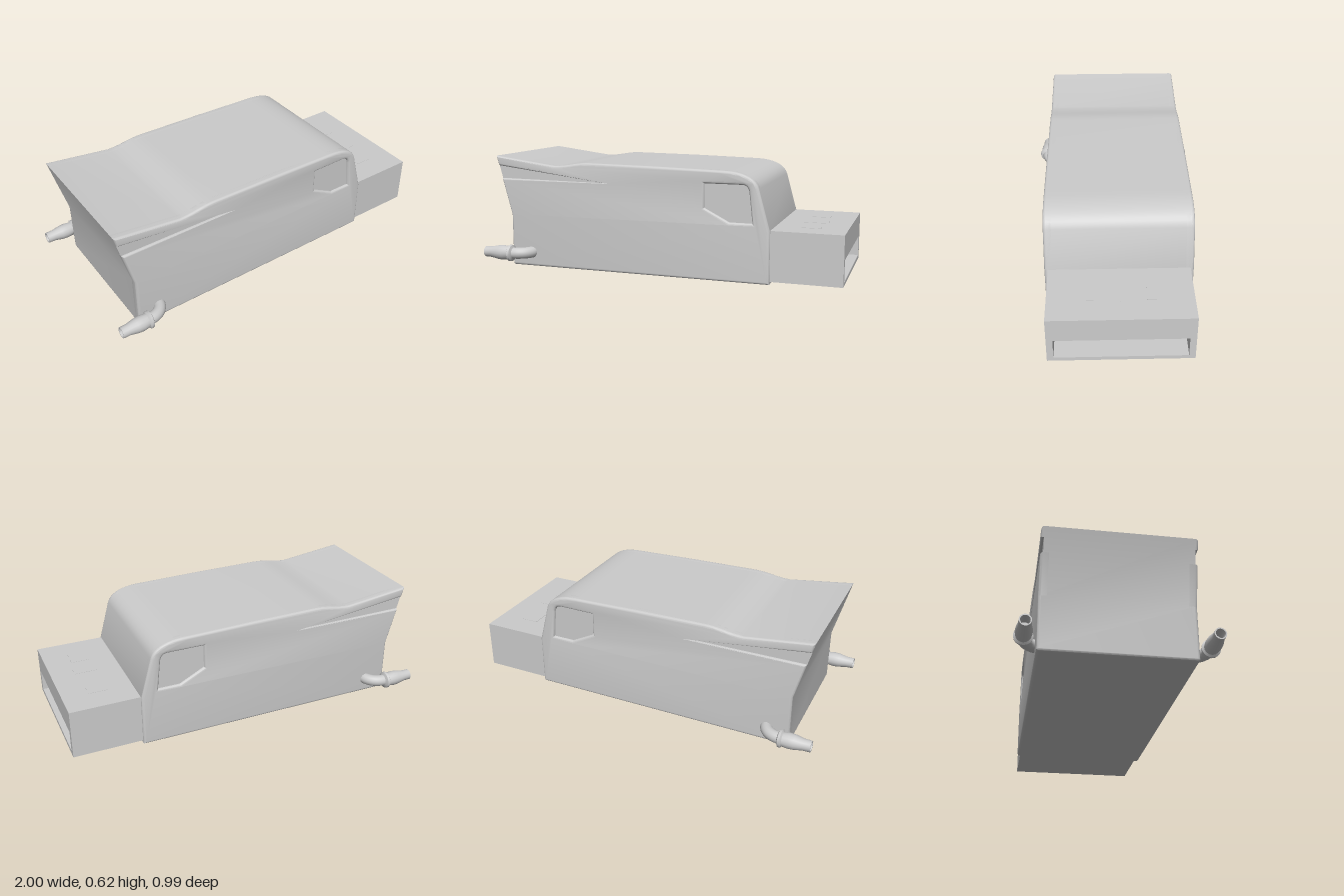
import * as THREE from 'three';
import { toCreasedNormals } from 'three/addons/utils/BufferGeometryUtils.js';

const material = new THREE.MeshStandardMaterial({ color: 0xcccccc });
const thin = new THREE.MeshStandardMaterial({ color: 0xcccccc, side: THREE.DoubleSide });

function add(parent, name, geometry, mat = material) {
  const mesh = new THREE.Mesh(geometry, mat);
  mesh.name = name;
  parent.add(mesh);
  return mesh;
}

// Side outline of the van body; the skin version has a wedge cut in its rear edge
function bodyOutline(withWedge) {
  const s = new THREE.Shape();
  s.moveTo(-0.85, 0);
  s.lineTo(0.625, 0);
  s.lineTo(0.625, 0.28);
  s.lineTo(0.565, 0.495);
  s.bezierCurveTo(0.545, 0.56, 0.46, 0.583, 0.36, 0.583);
  s.lineTo(0, 0.592);
  s.lineTo(-0.38, 0.597);
  s.bezierCurveTo(-0.47, 0.597, -0.5, 0.577, -0.59, 0.575);
  s.lineTo(-0.955, 0.622);
  if (withWedge) {
    s.lineTo(-0.94, 0.567);
    s.lineTo(-0.28, 0.49);
    s.lineTo(-0.921, 0.496);
  }
  s.lineTo(-0.865, 0.29);
  s.lineTo(-0.865, 0.015);
  s.quadraticCurveTo(-0.865, 0, -0.85, 0);
  return s;
}

function windowOutline() {
  const p = new THREE.Path();
  p.moveTo(0.275, 0.385);
  p.lineTo(0.275, 0.513);
  p.lineTo(0.475, 0.513);
  p.quadraticCurveTo(0.51, 0.513, 0.515, 0.475);
  p.lineTo(0.533, 0.315);
  p.lineTo(0.412, 0.315);
  p.lineTo(0.275, 0.385);
  return p;
}

function buildBody() {
  const body = new THREE.Group();
  body.name = 'body';
  const core = new THREE.ExtrudeGeometry(bodyOutline(false), { depth: 0.746, bevelEnabled: false, curveSegments: 10 });
  core.translate(0, 0, -0.373);
  add(body, 'bodyCore', toCreasedNormals(core, 0.45));

  // Rounded side panels leave the window and wedge as shallow recesses
  const outline = bodyOutline(true);
  outline.holes.push(windowOutline());
  const panel = toCreasedNormals(new THREE.ExtrudeGeometry(outline, {
    depth: 0.028, bevelThickness: 0.014, bevelSize: 0.014, bevelOffset: -0.014,
    bevelSegments: 4, curveSegments: 10,
  }), 0.45);
  add(body, 'leftFacingPanel', panel).position.z = 0.345;
  add(body, 'rightFacingPanel', panel).position.z = -0.373;
  return body;
}

function rectangle(path, x0, y0, x1, y1) {
  path.moveTo(x0, y0);
  path.lineTo(x1, y0);
  path.lineTo(x1, y1);
  path.lineTo(x0, y1);
  path.closePath();
  return path;
}

// Rectangular connector with an open slot in its end
function buildPlug() {
  const plug = new THREE.Group();
  plug.name = 'plug';
  const section = rectangle(new THREE.Shape(), -0.368, 0.015, 0.368, 0.282);
  section.holes.push(rectangle(new THREE.Path(), -0.335, 0.036, 0.335, 0.15));
  const shell = new THREE.ExtrudeGeometry(section, { depth: 0.38, bevelEnabled: false });
  shell.rotateY(Math.PI / 2).translate(0.62, 0, 0);
  add(plug, 'plugShell', shell);

  // Faint raised marks on the upper face
  for (const [x, z, w, d] of [[0.81, 0.18, 0.1, 0.095], [0.81, -0.18, 0.1, 0.095], [0.81, 0.03, 0.13, 0.06]]) {
    add(plug, 'plugMark', new THREE.BoxGeometry(w, 0.003, d)).position.set(x, 0.282, z);
  }
  return plug;
}

// Exhaust: an elbow out of the side wall, a collar and a hollow tapered tip
function buildExhaust(side) {
  const exhaust = new THREE.Group();
  exhaust.name = side > 0 ? 'frontExhaust' : 'backExhaust';
  const path = new THREE.CatmullRomCurve3([
    [-0.74, 0.35], [-0.742, 0.385], [-0.765, 0.42], [-0.8, 0.44], [-0.85, 0.447],
  ].map(([x, z]) => new THREE.Vector3(x, 0.08, z * side)));
  add(exhaust, 'exhaustElbow', new THREE.TubeGeometry(path, 20, 0.032, 16));

  const profile = [
    [0.03, 0.825], [0.046, 0.832], [0.048, 0.845], [0.038, 0.852], [0.042, 0.885],
    [0.04, 0.915], [0.031, 0.96], [0.03, 1], [0.024, 1], [0.024, 0.93], [0, 0.93],
  ].map(([r, d]) => new THREE.Vector2(r, d));
  const tip = new THREE.LatheGeometry(profile, 16);
  tip.rotateZ(Math.PI / 2).translate(0, 0.08, 0.447 * side);
  add(exhaust, 'exhaustTip', toCreasedNormals(tip, 0.6), thin);
  return exhaust;
}

export function createModel() {
  const model = new THREE.Group();
  model.name = 'vanShapedDrive';
  model.add(buildBody(), buildPlug(), buildExhaust(1), buildExhaust(-1));
  return model;
}
